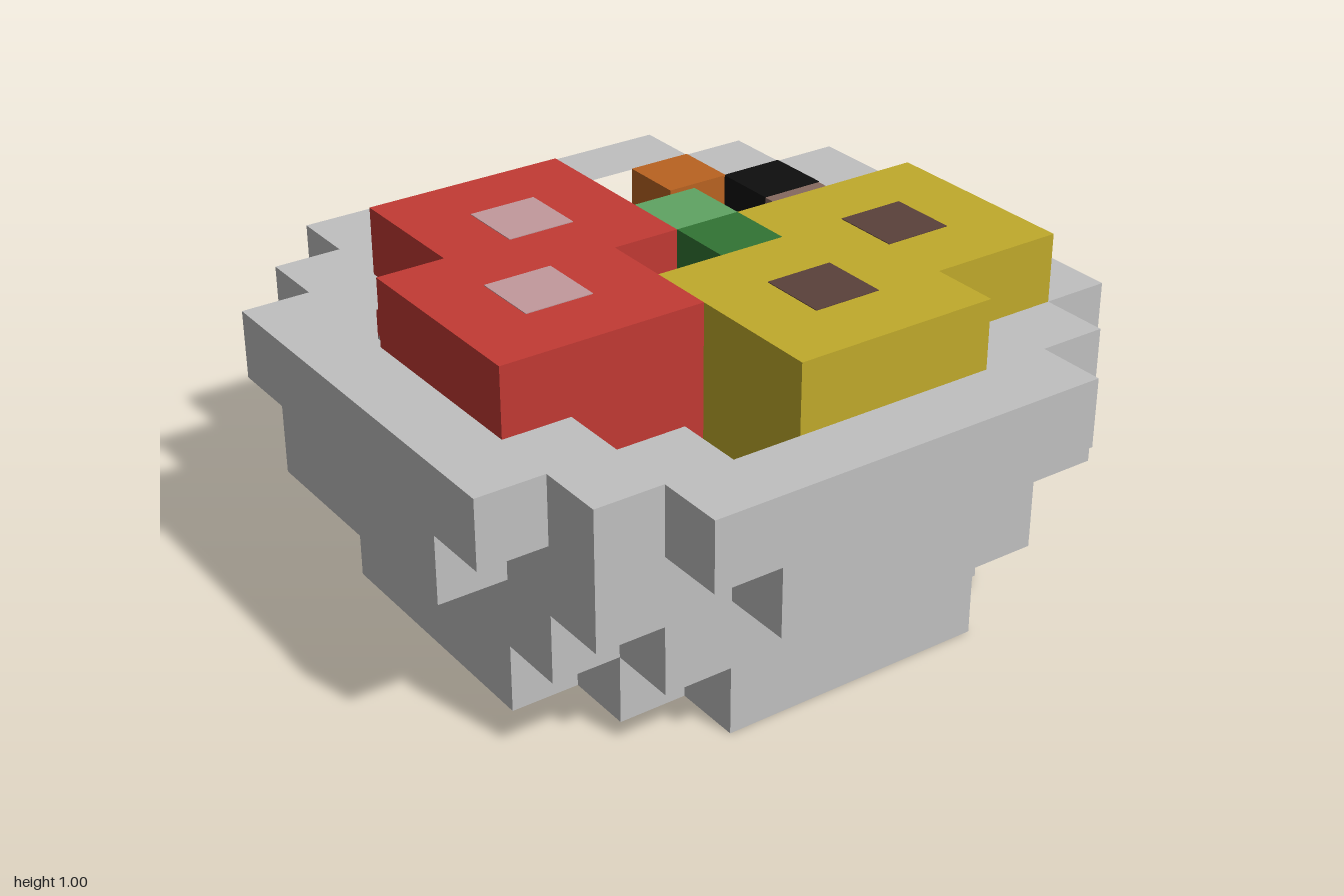
import * as THREE from 'three';

const C = 0.2; // size of one block
const mat = (name, color) => Object.assign(new THREE.MeshStandardMaterial({ color }), { name });

// Upright prism from an outline of [x, z] block coordinates, with optional hole
function prism(name, outline, hole, y0, y1, material) {
  const toVec = (pts) => pts.map(([x, z]) => new THREE.Vector2(x * C, -z * C));
  const shape = new THREE.Shape(toVec(outline));
  if (hole) shape.holes.push(new THREE.Path(toVec(hole)));
  const geo = new THREE.ExtrudeGeometry(shape, { depth: (y1 - y0) * C, bevelEnabled: false });
  geo.rotateX(-Math.PI / 2);
  geo.translate(0, y0 * C, 0);
  const mesh = new THREE.Mesh(geo, material);
  mesh.name = name;
  return mesh;
}

// Four-way symmetric stepped outline from the corner points of one quarter
function stepped(quarter) {
  const back = [...quarter].reverse();
  return [
    ...quarter,
    ...back.map(([x, z]) => [-x, z]),
    ...quarter.map(([x, z]) => [-x, -z]),
    ...back.map(([x, z]) => [x, -z]),
  ];
}

// One block whose low corner is at block coordinates x, y, z
function block(name, x, y, z, material, size = C) {
  const mesh = new THREE.Mesh(new THREE.BoxGeometry(size, size, size), material);
  mesh.position.set((x + 0.5) * C, (y + 0.5) * C, (z + 0.5) * C);
  mesh.name = name;
  return mesh;
}

// Thin square spot on the top of a food piece
function spot(name, x, z, material) {
  const mesh = new THREE.Mesh(new THREE.BoxGeometry(C, 0.004, C), material);
  mesh.position.set((x + 0.5) * C, 1, (z + 0.5) * C);
  mesh.name = name;
  return mesh;
}

export function createModel() {
  const grey = mat('bowlGrey', 0xc0c0c0);
  const red = mat('red', 0xc23a34);
  const yellow = mat('yellow', 0xc0aa2b);
  const pink = mat('palePink', 0xc2999c);
  const brown = mat('darkBrown', 0x5a413a);
  const taupe = mat('taupe', 0x85695f);
  const black = mat('black', 0x0e0e0e);
  const orange = mat('orange', 0xb96321);
  const green = mat('lightGreen', 0x5fa463);
  const darkGreen = mat('darkGreen', 0x327434);

  const model = new THREE.Group();
  model.name = 'bowlOfFood';

  // Bowl: four stepped layers, the top one a rim around the hollow
  const small = stepped([[4, 2], [3, 2], [3, 3], [2, 3], [2, 4]]);
  const bowl = new THREE.Group();
  bowl.name = 'bowl';
  bowl.add(
    prism('bowlFoot', small, null, 0, 1, grey),
    prism('bowlLower', stepped([[4, 3], [3, 3], [3, 4]]), null, 1, 2, grey),
    prism('bowlMiddle', stepped([[5, 2], [4, 2], [4, 4], [2, 4], [2, 5]]), null, 2, 3, grey),
    prism('bowlRim', stepped([[5, 3], [4, 3], [4, 4], [3, 4], [3, 5]]), small, 3, 4, grey),
  );
  model.add(bowl);

  // Red and yellow pieces, each two overlapping squares
  model.add(
    prism('redPiece', [[-3, 0], [0, 0], [0, 1], [2, 1], [2, 4], [-1, 4], [-1, 3], [-3, 3]], null, 3, 5, red),
    prism('yellowPiece', [[0, -4], [3, -4], [3, -2], [4, -2], [4, 1], [1, 1], [1, -1], [0, -1]], null, 3, 5, yellow),
  );
  for (const [x, z] of [[-2, 1], [0, 2]]) model.add(spot('redPieceSpot', x, z, pink));
  for (const [x, z] of [[1, -3], [2, -1]]) model.add(spot('yellowPieceSpot', x, z, brown));

  // Green leaf between them
  model.add(block('leafLight', -1, 4, -1, green), block('leafDark', 0, 4, -1, darkGreen));

  // Small bits along the rim, a hair oversized so they cover the rim blocks they replace
  const bit = C + 0.004;
  model.add(
    block('blackBit', -3, 3, -4, black, bit),
    block('taupeBit', -2, 3, -4, taupe),
    block('orangeBit', -4, 3, -3, orange, bit),
    block('orangeBit', -4, 3, -1, orange),
  );
  return model;
}
